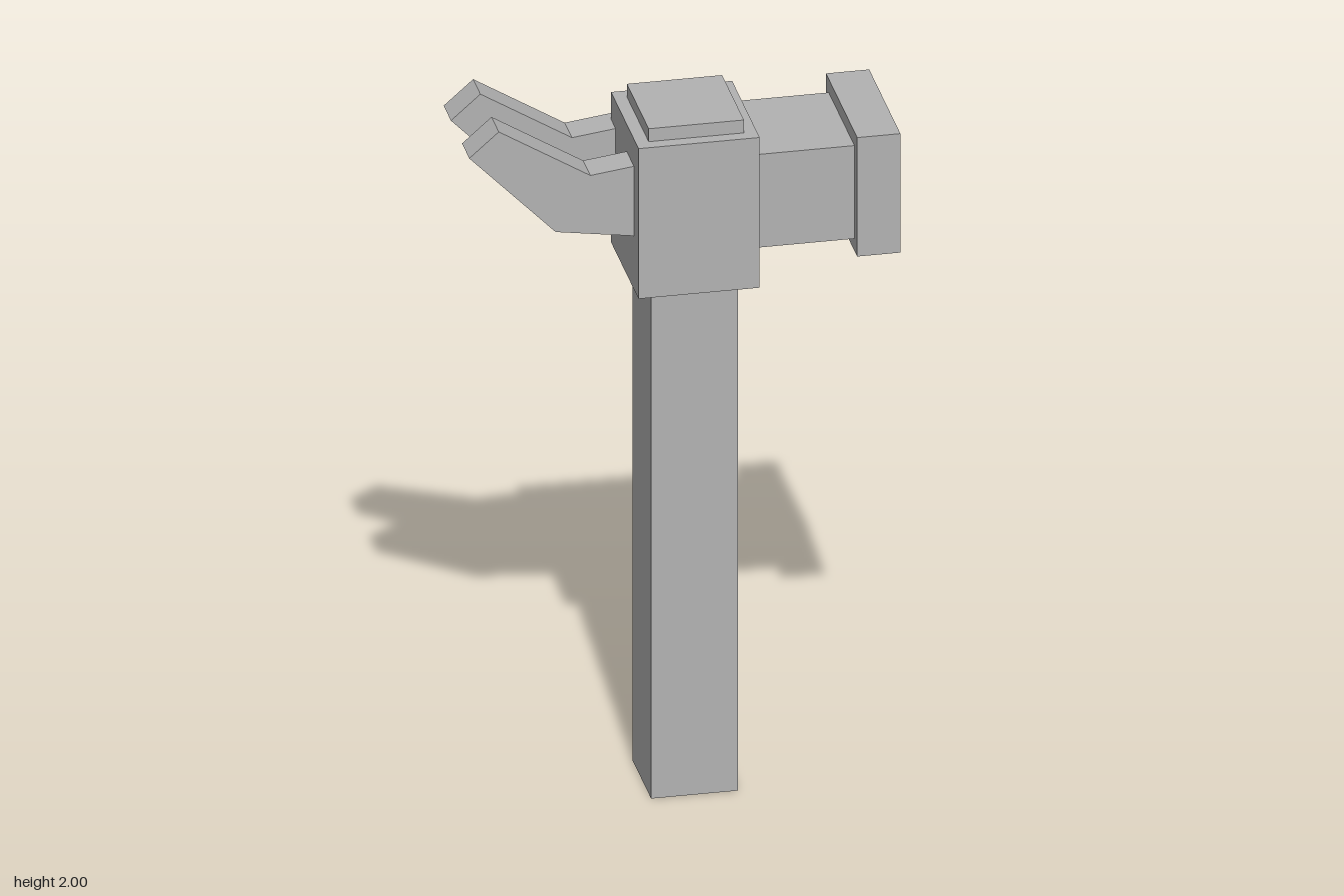
import * as THREE from 'three';

export function createModel() {
  const group = new THREE.Group();
  const grey = new THREE.MeshStandardMaterial({ color: 0xb2b2b2 });
  grey.name = 'grey';

  const add = (name, geometry) => {
    const mesh = new THREE.Mesh(geometry, grey);
    mesh.name = name;
    group.add(mesh);
    return mesh;
  };

  // Box given by its extents along each axis
  const block = (name, [x0, x1], [y0, y1], [z0, z1]) =>
    add(name, new THREE.BoxGeometry(x1 - x0, y1 - y0, z1 - z0))
      .position.set((x0 + x1) / 2, (y0 + y1) / 2, (z0 + z1) / 2);

  block('handle', [-0.085, 0.15], [0, 1.5], [-0.108, 0.127]);
  block('head', [-0.13, 0.198], [1.5, 1.942], [-0.173, 0.179]);
  block('topCap', [-0.095, 0.163], [1.942, 1.98], [-0.136, 0.143]);
  block('neck', [0.198, 0.457], [1.613, 1.887], [-0.162, 0.168]);
  block('strikingFace', [0.457, 0.574], [1.577, 1.927], [-0.196, 0.203]);

  // Two bent claws sharing one side profile, rooted inside the head
  const profile = new THREE.Shape([
    [-0.083, 1.65], [-0.083, 1.868], [-0.248, 1.847],
    [-0.496, 2], [-0.576, 1.93], [-0.342, 1.69],
  ].map(([x, y]) => new THREE.Vector2(x, y)));
  const clawGeometry = new THREE.ExtrudeGeometry(profile, { depth: 0.093, bevelEnabled: false });
  add('backClaw', clawGeometry).position.z = -0.208;
  add('frontClaw', clawGeometry).position.z = 0.027;

  return group;
}
